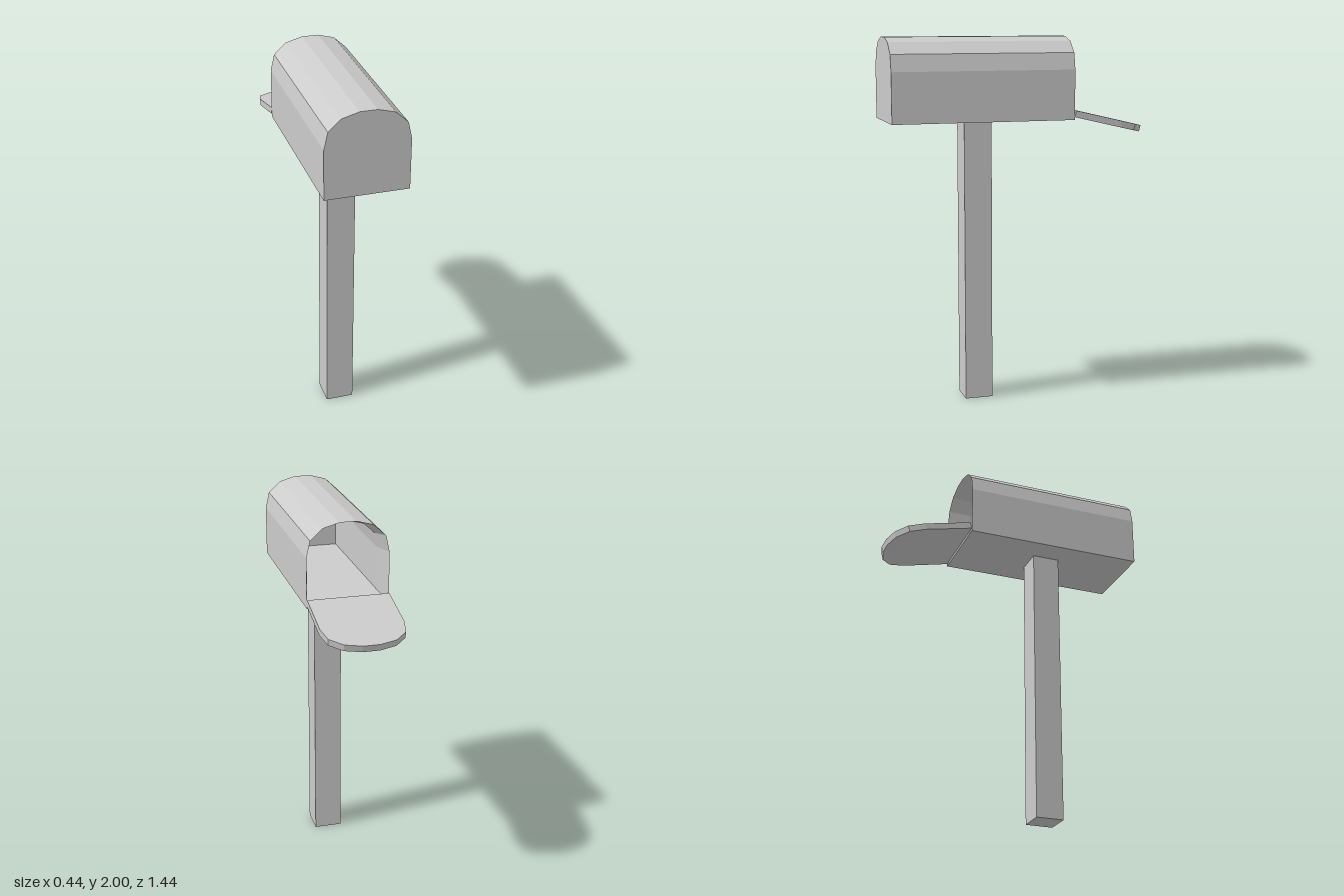
import * as THREE from 'three';

const W = 0.22, BASE = 1.555, H = 0.445;
const FRONT = 0.72, BACK = -0.28;

// Half of the arched outline, measured from the middle of the floor
const half = [[W, 0], [W, 0.27], [0.2, 0.36], [0.135, 0.42], [0.045, H]];
const outline = [...half, ...half.map(([x, y]) => [-x, y]).reverse()];

// One cross-section of the shell at depth z, shrunk inwards by t
function section(t, z) {
  return outline.map(([x, y]) => new THREE.Vector3(
    x * (W - t) / W, BASE + t + y * (H - 2 * t) / H, z));
}

// Hollow body: outer skin, flared mouth, inner skin and both end walls
function shellGeometry() {
  const rings = [section(0, FRONT), section(0, BACK), section(0.03, BACK + 0.12), section(0.03, FRONT - 0.03)];
  const pos = [];
  const tri = (...points) => points.forEach((p) => pos.push(p.x, p.y, p.z));
  const n = outline.length;
  for (let r = 0; r < rings.length - 1; r++) {
    for (let i = 0; i < n; i++) {
      const j = (i + 1) % n;
      const a = rings[r][i], b = rings[r][j], c = rings[r + 1][j], d = rings[r + 1][i];
      tri(a, d, c);
      tri(a, c, b);
    }
  }
  const first = rings[0], last = rings[rings.length - 1];
  for (let i = 1; i < n - 1; i++) {
    tri(first[0], first[i], first[i + 1]);
    tri(last[0], last[i + 1], last[i]);
  }
  const geometry = new THREE.BufferGeometry();
  geometry.setAttribute('position', new THREE.Float32BufferAttribute(pos, 3));
  geometry.computeVertexNormals();
  return geometry;
}

export function createModel() {
  const group = new THREE.Group();
  const material = new THREE.MeshStandardMaterial({ color: 0xcccccc, flatShading: true });
  const add = (name, geometry, x, y, z) => {
    const mesh = new THREE.Mesh(geometry, material);
    mesh.name = name;
    mesh.position.set(x, y, z);
    group.add(mesh);
    return mesh;
  };

  // Square post
  add('post', new THREE.BoxGeometry(0.153, BASE, 0.153), 0, BASE / 2, 0.223);

  // Arched mailbox body, open at the back
  add('boxBody', shellGeometry(), 0, 0, 0);

  // Door with the same arched outline, hanging open below level
  const shape = new THREE.Shape(outline.map(([x, y]) => new THREE.Vector2(x, y)));
  const door = add('door', new THREE.ExtrudeGeometry(shape, { depth: 0.036, bevelEnabled: false }), 0, 1.57, BACK);
  door.rotation.x = -THREE.MathUtils.degToRad(103.3);

  return group;
}
